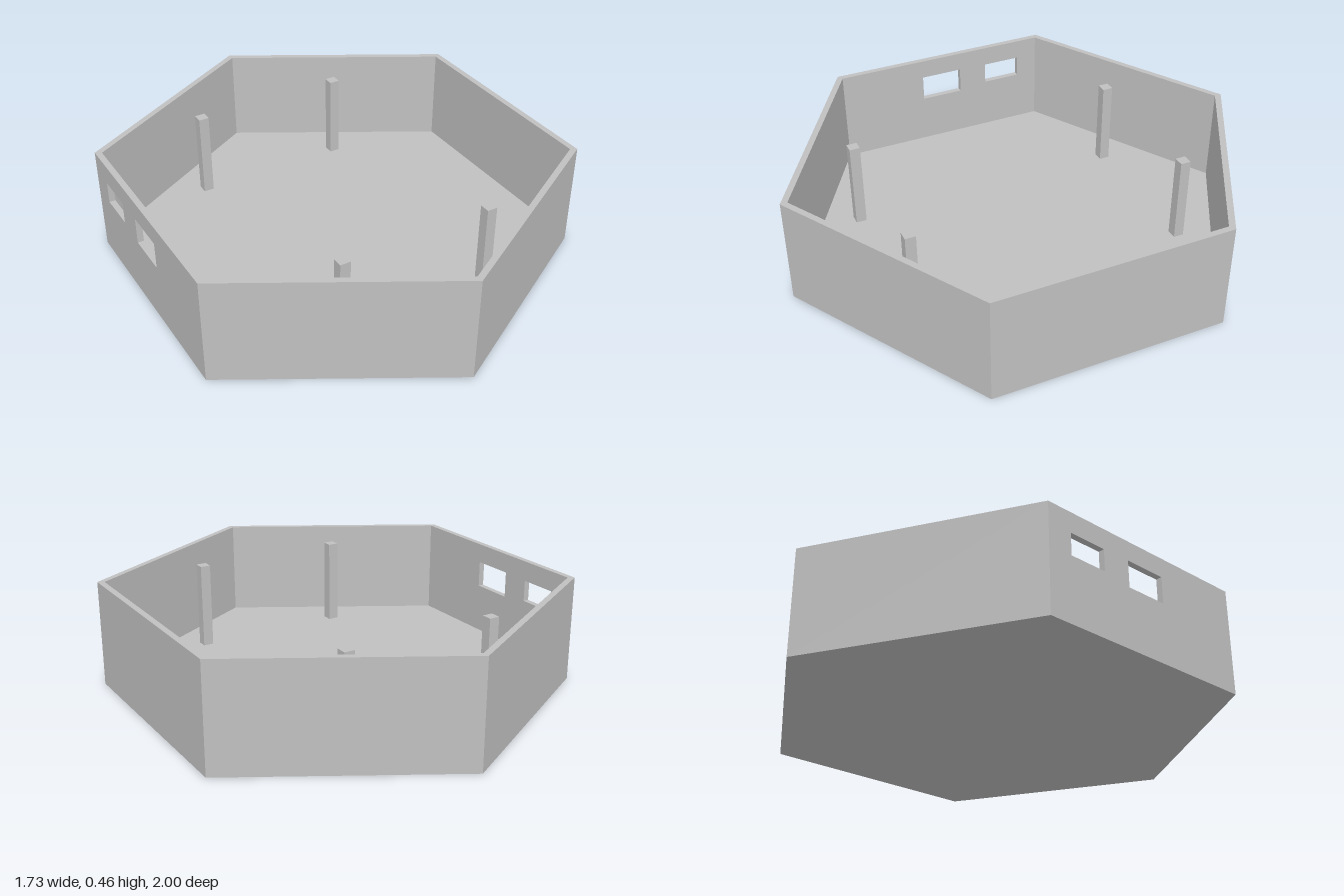
import * as THREE from 'three';

const HEIGHT = 0.46;
const FLOOR = 0.045;
const APOTHEM = Math.sqrt(3) / 2; // hexagon with sides of 1 unit
const THICKNESS = 0.026;
const INNER = (APOTHEM - THICKNESS) / APOTHEM;

// windows of the right wall: [x0, x1, y0, y1] along the wall
const WINDOWS = [
  [-0.39, -0.22, 0.278, 0.372],
  [-0.09, 0.098, 0.26, 0.375],
];

function rectangle(target, x0, x1, y0, y1) {
  target.moveTo(x0, y0);
  target.lineTo(x1, y0);
  target.lineTo(x1, y1);
  target.lineTo(x0, y1);
  target.closePath();
  return target;
}

// One wall panel facing +z, with mitred ends
function wallGeometry(windows) {
  const shape = rectangle(new THREE.Shape(), -0.5, 0.5, 0, HEIGHT);
  for (const w of windows) shape.holes.push(rectangle(new THREE.Path(), ...w));
  const geometry = new THREE.ExtrudeGeometry(shape, { depth: THICKNESS, bevelEnabled: false });
  const p = geometry.attributes.position;
  for (let i = 0; i < p.count; i++) {
    if (p.getZ(i) < THICKNESS / 2 && Math.abs(p.getX(i)) > 0.49) p.setX(i, p.getX(i) * INNER);
  }
  geometry.translate(0, 0, APOTHEM - THICKNESS);
  geometry.computeVertexNormals();
  return geometry;
}

export function createModel() {
  const model = new THREE.Group();
  model.name = 'hexagonalRoom';
  const grey = new THREE.MeshStandardMaterial({ color: 0xc0c0c0 });
  grey.name = 'grey';

  function add(name, geometry, x = 0, y = 0, z = 0) {
    const mesh = new THREE.Mesh(geometry, grey);
    mesh.name = name;
    mesh.position.set(x, y, z);
    model.add(mesh);
    return mesh;
  }

  // Floor slab between the walls
  add('floor', new THREE.CylinderGeometry(INNER, INNER, FLOOR, 6), 0, FLOOR / 2, 0);

  // Six walls, the first one (-x) with two windows
  for (let i = 0; i < 6; i++) {
    const wall = add(i === 0 ? 'windowWall' : 'wall', wallGeometry(i === 0 ? WINDOWS : []));
    wall.rotation.y = -Math.PI / 2 + (i * Math.PI) / 3;
  }

  // Four square columns
  const columnHeight = 0.375;
  for (const sx of [-1, 1]) {
    for (const sz of [-1, 1]) {
      add('column', new THREE.BoxGeometry(0.045, columnHeight, 0.045),
        sx * 0.335, FLOOR + columnHeight / 2, sz * 0.602);
    }
  }
  return model;
}
